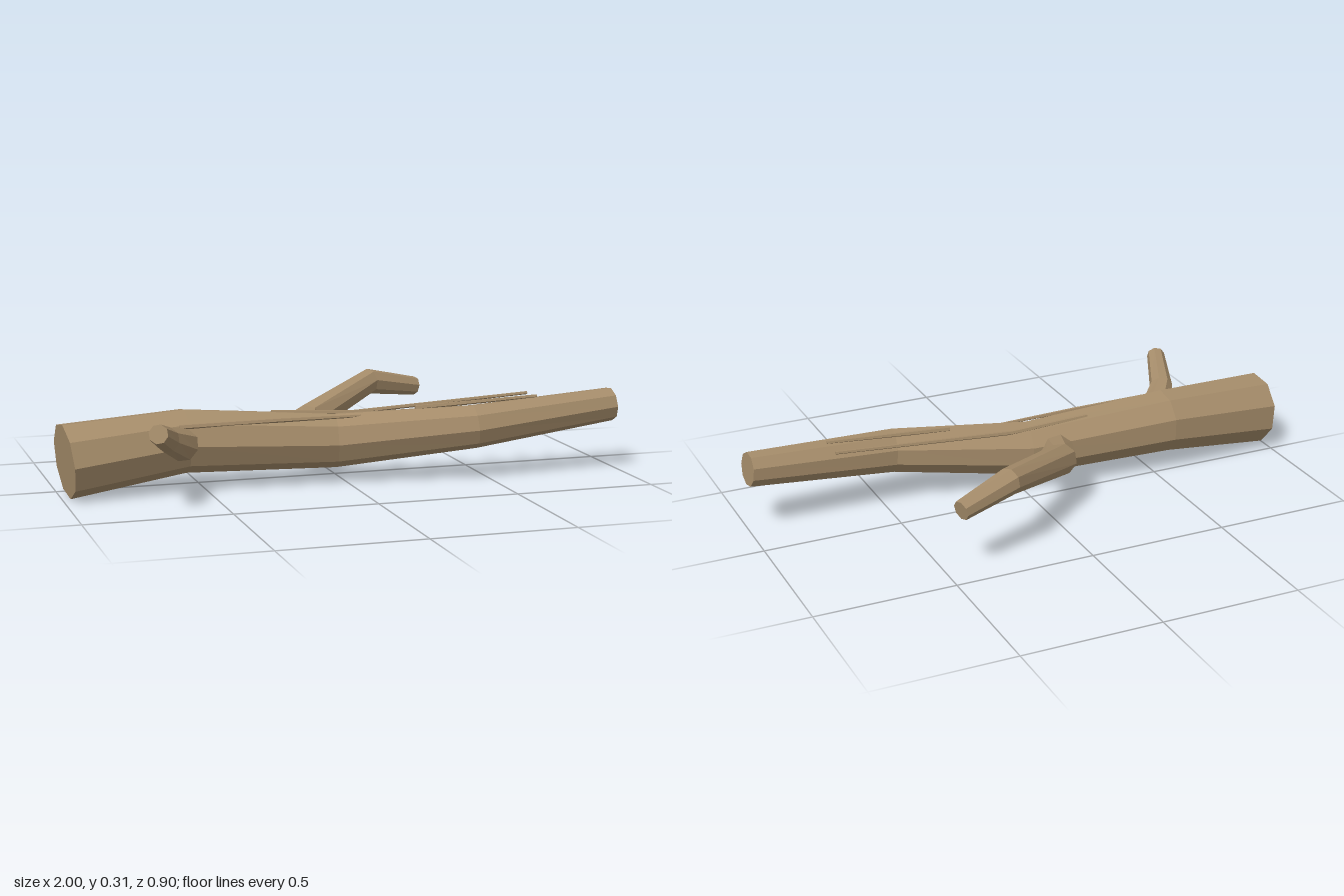
import * as THREE from 'three';

const bark = new THREE.MeshStandardMaterial({ color: 0xa58c6a, flatShading: true });

// Tapered, faceted limb through stations [x, y, z, radius], with mitred bends and closed ends
function limb(name, stations, sides, roll) {
  const centres = stations.map(([x, y, z]) => new THREE.Vector3(x, y, z));
  const last = centres.length - 1;
  const positions = [];
  const indices = [];
  const up = new THREE.Vector3(0, 1, 0);

  centres.forEach((c, i) => {
    const before = c.clone().sub(centres[Math.max(i - 1, 0)]).normalize();
    const after = centres[Math.min(i + 1, last)].clone().sub(c).normalize();
    const dir = before.add(after).normalize();
    const side = dir.clone().cross(up).normalize();
    const top = side.clone().cross(dir);
    for (let k = 0; k < sides; k++) {
      const a = roll + (k / sides) * Math.PI * 2;
      const p = c.clone()
        .addScaledVector(top, -Math.cos(a) * stations[i][3])
        .addScaledVector(side, Math.sin(a) * stations[i][3]);
      positions.push(p.x, p.y, p.z);
    }
  });
  // end cap centres
  const startCap = positions.length / 3;
  positions.push(...centres[0].toArray(), ...centres[last].toArray());

  for (let k = 0; k < sides; k++) {
    const n = (k + 1) % sides;
    for (let i = 0; i < last; i++) {
      const a = i * sides + k, b = i * sides + n;
      indices.push(a, a + sides, b, b, a + sides, b + sides);
    }
    indices.push(startCap, k, n);
    indices.push(startCap + 1, last * sides + n, last * sides + k);
  }

  const indexed = new THREE.BufferGeometry();
  indexed.setAttribute('position', new THREE.Float32BufferAttribute(positions, 3));
  indexed.setIndex(indices);
  const geometry = indexed.toNonIndexed();
  geometry.computeVertexNormals();
  const mesh = new THREE.Mesh(geometry, bark);
  mesh.name = name;
  return mesh;
}

export function createModel() {
  const group = new THREE.Group();
  group.name = 'fallenBranch';

  // main stem, lying along x
  group.add(limb('mainStem', [
    [-0.985, 0.134, 0.11, 0.131],
    [-0.565, 0.173, 0.07, 0.113],
    [-0.03, 0.15, 0.103, 0.097],
    [0.45, 0.19, 0.207, 0.078],
    [0.99, 0.236, 0.173, 0.061],
  ], 9, 0.148));

  // long side branch reaching back
  group.add(limb('backBranch', [
    [-0.115, 0.152, 0.025, 0.064],
    [-0.068, 0.186, -0.107, 0.057],
    [0.245, 0.27, -0.355, 0.047],
    [0.448, 0.232, -0.421, 0.035],
  ], 8, 0.2));

  // short stub reaching forward
  group.add(limb('frontBranch', [
    [-0.588, 0.175, 0.165, 0.057],
    [-0.665, 0.217, 0.265, 0.043],
    [-0.732, 0.272, 0.437, 0.033],
  ], 8, 0.2));

  // slender twigs lying along the top of the stem
  group.add(limb('backTwig', [
    [-0.25, 0.252, 0.06, 0.008],
    [0.05, 0.238, 0.068, 0.008],
    [0.7, 0.277, 0.088, 0.006],
  ], 5, 0));
  group.add(limb('frontTwig', [
    [-0.6, 0.237, 0.163, 0.009],
    [-0.25, 0.24, 0.156, 0.008],
    [0.05, 0.239, 0.15, 0.005],
  ], 5, 0));
  group.add(limb('tipTwig', [
    [0.25, 0.257, 0.152, 0.009],
    [0.7, 0.28, 0.177, 0.006],
  ], 5, 0));

  return group;
}
